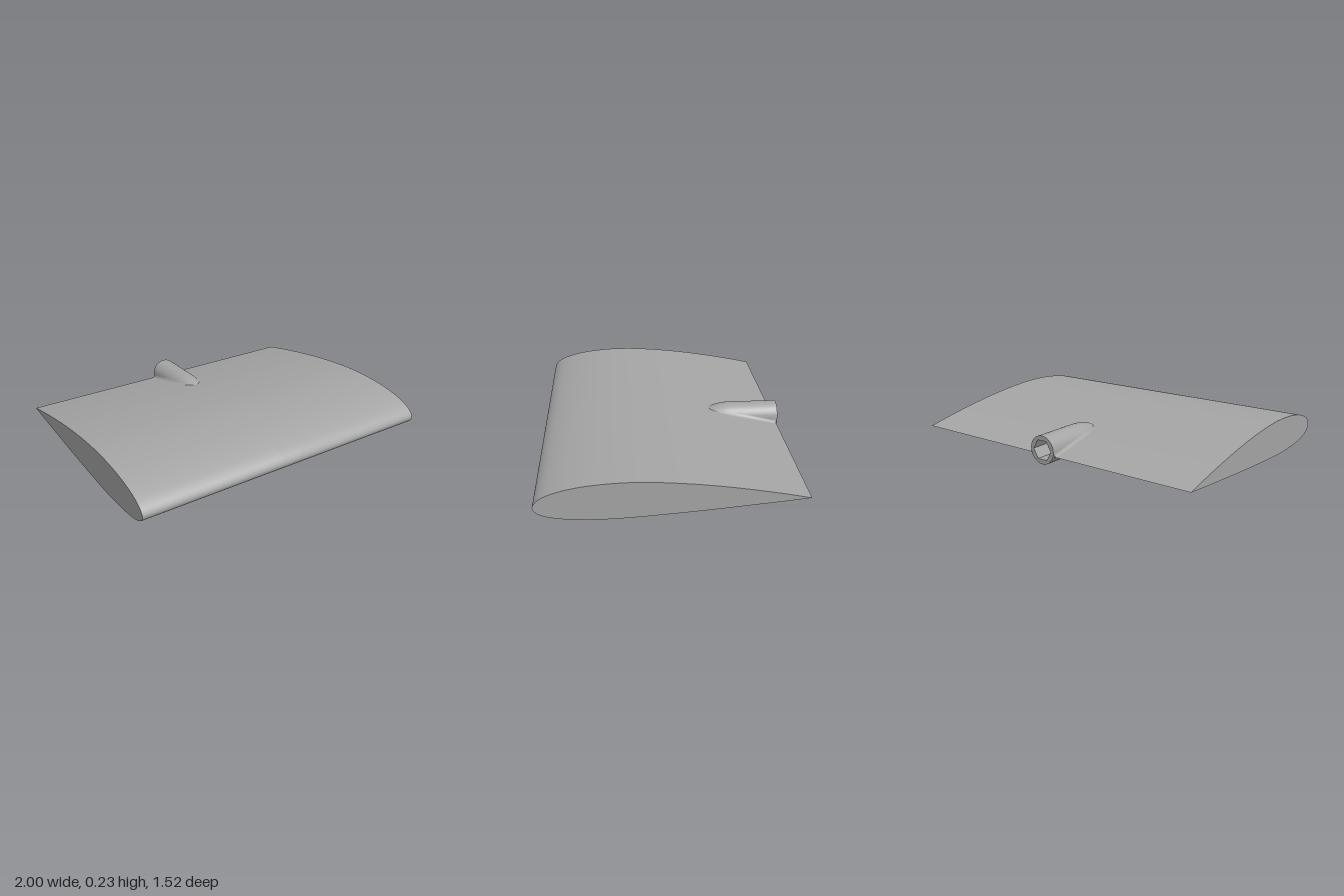
import * as THREE from 'three';
import { toCreasedNormals } from 'three/addons/utils/BufferGeometryUtils.js';

const grey = new THREE.MeshStandardMaterial({ color: 0xa5a5a5 });
const greyDouble = new THREE.MeshStandardMaterial({ color: 0xa5a5a5, side: THREE.DoubleSide });

// Aerofoil section as [z, y], trailing edge over the top, round the nose and back below
const tailZ = -0.755;
const section = [
  [tailZ, 0.086], [-0.6, 0.12], [-0.4, 0.158], [-0.2, 0.19], [0, 0.213], [0.15, 0.224],
  [0.28, 0.226], [0.4, 0.22], [0.52, 0.206], [0.63, 0.181], [0.71, 0.149], [0.75, 0.116],
  [0.762, 0.088], [0.75, 0.062], [0.71, 0.037], [0.63, 0.016], [0.52, 0.005], [0.4, 0],
  [0.28, 0.002], [0.15, 0.009], [0, 0.019], [-0.2, 0.034], [-0.4, 0.052], [-0.6, 0.07], [tailZ, 0.086],
];
const outline = new THREE.CatmullRomCurve3(section.map(([z, y]) => new THREE.Vector3(0, y, z)), false, 'centripetal')
  .getPoints(144);

const socketY = 0.114, socketR = 0.087, endZ = -0.762, floorZ = -0.53, notch = 0.07;

// Height of the upper or lower wing skin at z
function skinY(z, upper) {
  const half = upper ? outline.slice(0, 73) : outline.slice(72).reverse();
  const i = Math.max(1, half.findIndex(p => p.z >= z));
  const t = (z - half[i - 1].z) / (half[i].z - half[i - 1].z);
  return THREE.MathUtils.lerp(half[i - 1].y, half[i].y, t);
}

// Span of wing between x0 and x1, cut off behind zMin
function wingSpan(name, x0, x1, zMin = -1) {
  const pts = outline.filter(p => p.z > zMin).map(p => new THREE.Vector2(-p.z, p.y));
  if (pts[0].distanceTo(pts[pts.length - 1]) < 1e-5) pts.pop();
  const geo = new THREE.ExtrudeGeometry(new THREE.Shape(pts), { depth: x1 - x0, bevelEnabled: false });
  geo.rotateY(Math.PI / 2).translate(x0, 0, 0);
  const mesh = new THREE.Mesh(toCreasedNormals(geo, 0.6), grey);
  mesh.name = name;
  return mesh;
}

// Rounded nose of the socket: [z, radius]
const nose = [
  [-0.45, socketR], [-0.42, 0.0855], [-0.39, 0.081], [-0.36, 0.0745], [-0.33, 0.066],
  [-0.31, 0.058], [-0.28, 0.042], [-0.26, 0.025], [-0.25, 0],
];
function socketRadius(z) {
  if (z <= nose[0][0]) return socketR;
  const i = nose.findIndex(p => p[0] >= z);
  const t = (z - nose[i - 1][0]) / (nose[i][0] - nose[i - 1][0]);
  return THREE.MathUtils.lerp(nose[i - 1][1], nose[i][1], t);
}

// Concave blend where the socket meets a wing skin, flaring out onto the skin
function blend(side, upper) {
  const rows = 40, cols = 6, pos = [], index = [];
  const dir = upper ? 1 : -1;
  for (let i = 0; i <= rows; i++) {
    const z = THREE.MathUtils.lerp(-0.34, tailZ, i / rows);
    const y = skinY(z, upper), r = socketRadius(z), grow = Math.min(1, i / 12);
    const x = h => Math.sqrt(Math.max(0, r * r - (h - socketY) ** 2));
    const top = y + dir * 0.03 * grow, foot = x(y) + 0.02 * grow;
    const a = [x(top), top], b = [Math.max(x(y), x(top)), y], c = [foot, y];
    for (let j = 0; j <= cols; j++) {
      const t = j / cols, u = 1 - t;
      const p = [0, 1].map(k => u * u * a[k] + 2 * u * t * b[k] + t * t * c[k]);
      pos.push(side * p[0], p[1], z);
      if (i < rows && j < cols) {
        const n = i * (cols + 1) + j, m = n + cols + 1;
        // wound so that the faces look away from the wing skin
        if (side * dir < 0) index.push(n, n + 1, m, n + 1, m + 1, m);
        else index.push(n, m, n + 1, n + 1, m, m + 1);
      }
    }
  }
  const geo = new THREE.BufferGeometry();
  geo.setAttribute('position', new THREE.Float32BufferAttribute(pos, 3));
  geo.setIndex(index);
  geo.computeVertexNormals();
  const mesh = new THREE.Mesh(geo, greyDouble);
  mesh.name = 'socketBlend';
  return mesh;
}

export function createModel() {
  const model = new THREE.Group();
  model.name = 'wingSection';

  // Wing, with a gap left for the socket bore
  const wing = new THREE.Group();
  wing.name = 'wing';
  wing.add(
    wingSpan('rightWing', -1, -notch),
    wingSpan('middleWing', -notch, notch, floorZ),
    wingSpan('leftWing', notch, 1),
  );
  model.add(wing);

  const socket = new THREE.Group();
  socket.name = 'socket';

  // Sleeve with hexagonal bore
  const ring = new THREE.Shape().absarc(0, 0, socketR, 0, Math.PI * 2);
  const hex = [];
  for (let i = 0; i < 6; i++) {
    const a = i * Math.PI / 3;
    hex.push(new THREE.Vector2(Math.cos(a), Math.sin(a)).multiplyScalar(0.066));
  }
  ring.holes.push(new THREE.Path(hex));
  const sleeveGeo = new THREE.ExtrudeGeometry(ring, { depth: floorZ - endZ, bevelEnabled: false, curveSegments: 32 });
  sleeveGeo.translate(0, socketY, endZ);
  const sleeve = new THREE.Mesh(toCreasedNormals(sleeveGeo, 0.6), grey);
  sleeve.name = 'hexSleeve';

  // Nose, whose flat back closes the bore
  const profile = [[floorZ, 0], [floorZ, socketR], ...nose].map(([z, r]) => new THREE.Vector2(r, z));
  const noseGeo = new THREE.LatheGeometry(profile, 64);
  noseGeo.rotateX(Math.PI / 2).translate(0, socketY, 0);
  const noseMesh = new THREE.Mesh(toCreasedNormals(noseGeo, 0.6), grey);
  noseMesh.name = 'socketNose';
  socket.add(sleeve, noseMesh);

  for (const side of [-1, 1]) for (const upper of [true, false]) socket.add(blend(side, upper));
  model.add(socket);
  return model;
}
